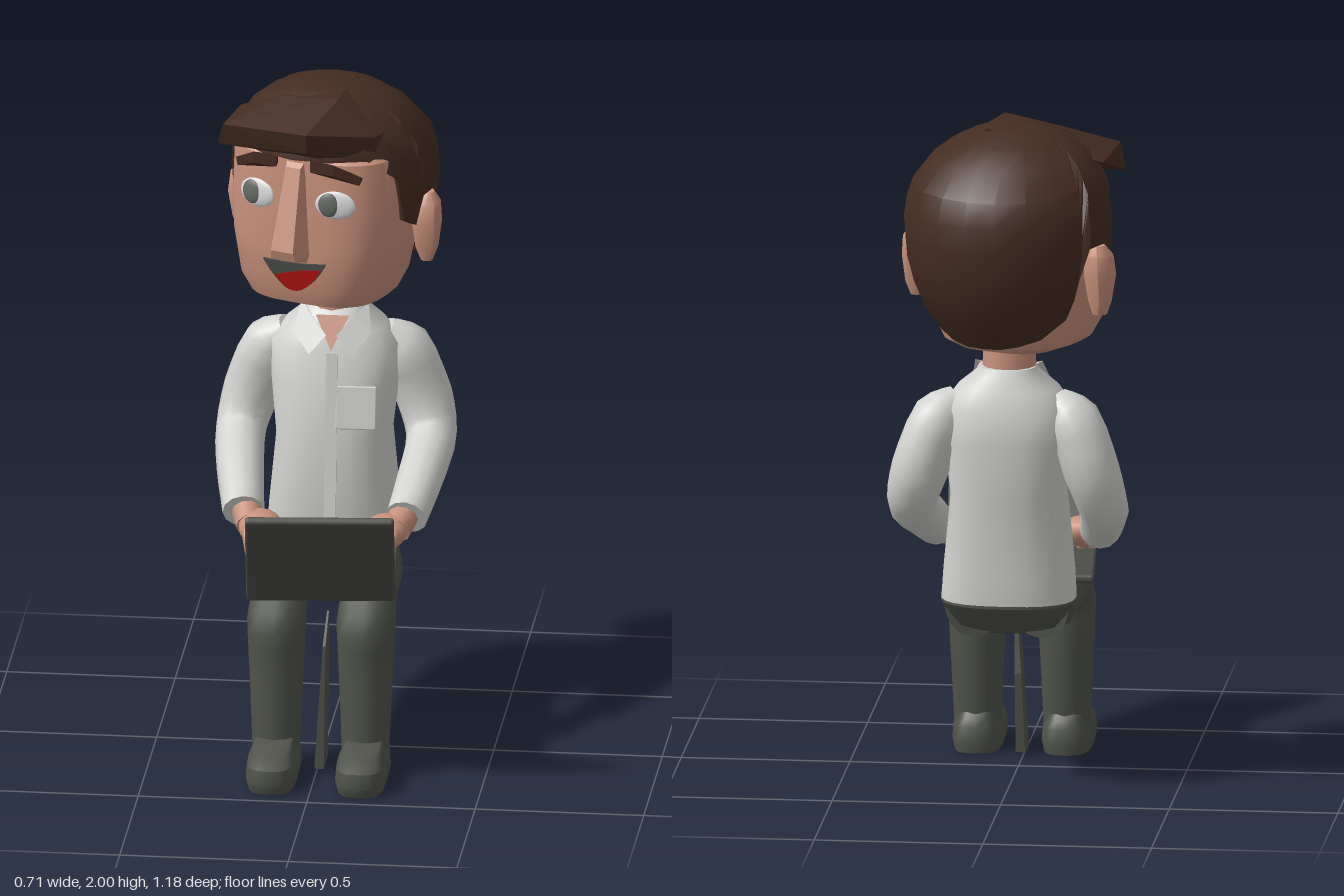
import * as THREE from 'three';
import { toCreasedNormals } from 'three/addons/utils/BufferGeometryUtils.js';
import { ConvexGeometry } from 'three/addons/geometries/ConvexGeometry.js';
import { RoundedBoxGeometry } from 'three/addons/geometries/RoundedBoxGeometry.js';

const V = (x, y, z) => new THREE.Vector3(x, y, z);
const mat = (name, color) => {
  const m = new THREE.MeshStandardMaterial({ color });
  m.name = name;
  return m;
};

// Piecewise linear lookup in a table of [key, value...] rows
function lookup(table, k, col = 1) {
  for (let i = 1; i < table.length; i++) {
    const [a, b] = [table[i - 1], table[i]];
    if (k <= b[0]) return THREE.MathUtils.mapLinear(Math.max(k, a[0]), a[0], b[0], a[col], b[col]);
  }
  return table[table.length - 1][col];
}

// Closed skin over a list of rings, with fan caps
function skinRings(rings, crease = 0.65) {
  const n = rings[0].length, pos = [], idx = [];
  rings.forEach(r => r.forEach(p => pos.push(p.x, p.y, p.z)));
  for (let i = 0; i < rings.length - 1; i++) {
    for (let j = 0; j < n; j++) {
      const k = (j + 1) % n, a = i * n + j, b = i * n + k;
      idx.push(a, b, b + n, a, b + n, a + n);
    }
  }
  [0, rings.length - 1].forEach((ri, top) => {
    const c = rings[ri].reduce((s, p) => s.add(p), V(0, 0, 0)).divideScalar(n);
    const ci = pos.length / 3;
    pos.push(c.x, c.y, c.z);
    for (let j = 0; j < n; j++) {
      const a = ri * n + j, b = ri * n + (j + 1) % n;
      idx.push(ci, ...(top ? [a, b] : [b, a]));
    }
  });
  const g = new THREE.BufferGeometry();
  g.setAttribute('position', new THREE.Float32BufferAttribute(pos, 3));
  g.setIndex(idx);
  return toCreasedNormals(g, crease);
}

// Upright loft: rows of [y, halfWidth, zFront, zBack], boxy ovals
function loft(rows, power = 2.6, seg = 24, crease) {
  const bend = v => Math.sign(v) * Math.abs(v) ** (2 / power);
  return skinRings(rows.map(([y, w, zf, zb]) => Array.from({ length: seg }, (_, j) => {
    const a = j / seg * Math.PI * 2;
    return V(w * bend(Math.sin(a)), y, (zf + zb) / 2 + (zf - zb) / 2 * bend(Math.cos(a)));
  })), crease);
}

// Limb: tapering tube through points [x, y, z, radius]
function limb(pts, seg = 10, steps = 3) {
  const curve = new THREE.CatmullRomCurve3(pts.map(p => V(p[0], p[1], p[2])));
  const count = (pts.length - 1) * steps, rings = [];
  const radii = pts.map((p, i) => [i, p[3]]);
  for (let i = 0; i <= count; i++) {
    const t = i / count, c = curve.getPoint(t), T = curve.getTangent(t);
    const N = V(1, 0, 0).addScaledVector(T, -T.x).normalize(), B = T.clone().cross(N);
    const r = lookup(radii, t * (pts.length - 1));
    rings.push(Array.from({ length: seg }, (_, j) => {
      const a = j / seg * Math.PI * 2;
      return c.clone().addScaledVector(N, r * Math.cos(a)).addScaledVector(B, r * Math.sin(a));
    }));
  }
  return skinRings(rings, 0.8);
}

// Hair cap whose lower edge follows a hairline around the head
function hairCap() {
  const hairline = [[0, 1.83], [22, 1.83], [45, 1.83], [62, 1.76], [68, 1.62], [80, 1.59], [84, 1.68],
    [102, 1.68], [109, 1.46], [125, 1.4], [145, 1.38], [163, 1.37], [180, 1.37]];
  const profile = [[1.37, 0.58], [1.42, 0.7], [1.5, 0.88], [1.62, 0.99], [1.74, 1.02], [1.84, 0.96],
    [1.92, 0.78], [1.97, 0.56], [2, 0.28]];
  const half = hairline.map(r => r[0]);
  const angles = [...half, ...half.slice(1, -1).reverse().map(a => -a)];
  const ring = (t, shrink = 1) => angles.map(d => {
    const b = lookup(hairline, Math.abs(d)), y = b + (2 - b) * t, a = d * Math.PI / 180;
    const s = lookup(profile, y) * shrink, shift = Math.max(0, y - 1.8) * 0.3;
    return V(0.305 * s * Math.sin(a), y, shift + 0.3 * s * Math.cos(a));
  });
  return skinRings([ring(0, 0.85), ...[0, 0.12, 0.25, 0.38, 0.5, 0.62, 0.74, 0.86, 0.95, 1].map(t => ring(t))], 0.5);
}

export function createModel() {
  const model = new THREE.Group();
  model.name = 'seatedManWithLaptop';
  const skin = mat('skin', 0xc8917b), hair = mat('hairBrown', 0x452c21), shirt = mat('shirtWhite', 0xd2d2d0);
  const trouser = mat('trouserGrey', 0x50534b), laptopGrey = mat('laptopGrey', 0x4c4e49);
  const white = mat('eyeWhite', 0xdcdcdc), iris = mat('irisGrey', 0x686c68);
  const red = mat('mouthRed', 0xa30f0f), dark = mat('mouthDark', 0x454845);
  const add = (parent, name, geo, material, p = [0, 0, 0], r = [0, 0, 0], s = [1, 1, 1]) => {
    const m = new THREE.Mesh(geo, material);
    m.name = name;
    m.position.set(...p);
    m.rotation.set(...r);
    m.scale.set(...s);
    parent.add(m);
    return m;
  };
  const group = name => {
    const g = new THREE.Group();
    g.name = name;
    model.add(g);
    return g;
  };
  const ball = new THREE.SphereGeometry(1, 16, 12);
  const hull = pts => new ConvexGeometry(pts.map(p => V(...p)));
  const sides = [[1, 'left'], [-1, 'right']];

  // Head, turned to one side
  const head = group('head');
  head.position.set(0, 0, -0.29);
  head.rotation.y = -0.35;
  add(head, 'face', loft([[1.345, 0.15, 0.19, -0.1], [1.365, 0.205, 0.255, -0.12], [1.42, 0.235, 0.275, -0.13],
    [1.55, 0.26, 0.28, -0.15], [1.68, 0.268, 0.276, -0.18], [1.82, 0.265, 0.27, -0.2], [1.88, 0.23, 0.2, -0.2]], 3, 28), skin);
  add(head, 'hair', hairCap(), hair);
  add(head, 'nose', hull([-1, 1].flatMap(s => [[s * 0.032, 1.83, 0.25], [s * 0.024, 1.8, 0.285], [s * 0.036, 1.56, 0.36],
    [s * 0.04, 1.53, 0.35], [s * 0.052, 1.53, 0.26], [s * 0.04, 1.5, 0.26]])), skin);
  for (const [s, side] of sides) {
    add(head, side + 'Eye', ball, white, [s * 0.128, 1.695, 0.262], [0, s * 0.2, 0], [0.062, 0.045, 0.014]);
    add(head, side + 'Iris', ball, iris, [s * 0.128 - 0.016, 1.697, 0.27 - s * -0.003], [0, s * 0.2, 0], [0.033, 0.037, 0.011]);
    add(head, side + 'Brow', hull([[s * 0.055, 1.835, 0.285], [s * 0.055, 1.795, 0.285], [s * 0.13, 1.83, 0.285],
      [s * 0.13, 1.795, 0.285], [s * 0.205, 1.79, 0.25], [s * 0.2, 1.765, 0.25], [s * 0.06, 1.815, 0.25], [s * 0.2, 1.78, 0.22]]), hair);
    add(head, side + 'Ear', loft([[1.47, 0.018, 0.025, -0.02], [1.51, 0.034, 0.035, -0.03], [1.59, 0.044, 0.05, -0.045],
      [1.65, 0.04, 0.04, -0.045], [1.68, 0.02, 0.015, -0.03]], 2.4, 10), skin, [s * 0.3, 0, 0], [0, s * 0.3, 0]);
  }

  // Open smiling mouth
  const mouth = (pts) => {
    const sh = new THREE.Shape();
    sh.moveTo(...pts[0]);
    sh.quadraticCurveTo(...pts[1], ...pts[2]);
    sh.quadraticCurveTo(...pts[3], ...pts[0]);
    return new THREE.ExtrudeGeometry(sh, { depth: 0.009, bevelEnabled: false, curveSegments: 10 });
  };
  add(head, 'mouth', mouth([[-0.1, 1.5], [0.01, 1.33], [0.105, 1.51], [0, 1.495]]), dark, [0, 0, 0.275]);
  add(head, 'tongue', mouth([[-0.06, 1.455], [0.015, 1.36], [0.09, 1.49], [0.02, 1.485]]), red, [0, 0, 0.279]);

  // Swept fringe over the forehead
  add(model, 'fringe', hull([[-0.31, 1.915, -0.06], [-0.33, 1.84, -0.1], [-0.05, 1.935, 0.065], [-0.05, 1.87, 0.045],
    [-0.02, 1.84, 0.0], [0.14, 1.9, -0.035], [0.15, 1.82, -0.05], [-0.28, 1.9, -0.27], [-0.15, 1.978, -0.15],
    [0.03, 2, -0.08], [0.06, 2, -0.3], [0.22, 1.9, -0.18]]), hair);

  // Neck, torso and collar
  add(model, 'neck', new THREE.CylinderGeometry(0.075, 0.085, 0.22, 14), skin, [-0.005, 1.29, -0.3]);
  add(model, 'shirtBody', loft([[0.58, 0.2, -0.11, -0.415], [0.66, 0.195, -0.1, -0.42], [0.9, 0.172, -0.1, -0.425],
    [1.07, 0.19, -0.13, -0.45], [1.17, 0.19, -0.16, -0.435], [1.225, 0.15, -0.18, -0.415], [1.27, 0.095, -0.205, -0.395],
    [1.29, 0.085, -0.23, -0.385]]), shirt);
  add(model, 'openCollarSkin', hull([[-0.05, 1.275, -0.2], [0.05, 1.275, -0.2], [0, 1.18, -0.15], [0, 1.25, -0.25]]), skin);
  for (const [s, side] of sides) {
    add(model, side + 'Collar', hull([[s * 0.015, 1.225, -0.16], [s * 0.1, 1.295, -0.27], [s * 0.065, 1.17, -0.142],
      [s * 0.115, 1.225, -0.19], [s * 0.06, 1.27, -0.2]]), shirt);
  }
  add(model, 'shirtPlacket', new THREE.BoxGeometry(0.035, 0.5, 0.009), shirt, [0.005, 0.93, -0.108], [-0.13, 0, 0]);
  add(model, 'shirtPocket', new RoundedBoxGeometry(0.12, 0.13, 0.009, 2, 0.004), shirt, [0.078, 1.015, -0.121], [-0.18, 0.06, 0]);

  // Sleeves and hands resting on the keyboard
  for (const [s, side] of sides) {
    const arm = group(side + 'Arm');
    add(arm, side + 'Sleeve', limb([[s * 0.135, 1.185, -0.315, 0.05], [s * 0.195, 1.13, -0.335, 0.085], [s * 0.255, 0.98, -0.35, 0.085],
      [s * 0.282, 0.875, -0.305, 0.075], [s * 0.268, 0.8, -0.15, 0.07], [s * 0.242, 0.725, 0.005, 0.062]], 12), shirt);
    add(arm, side + 'Wrist', limb([[s * 0.25, 0.75, -0.05, 0.045], [s * 0.215, 0.7, 0.05, 0.045]]), skin);
    add(arm, side + 'Palm', ball, skin, [s * 0.183, 0.7, 0.07], [0.3, s * -0.35, 0], [0.066, 0.046, 0.072]);
    for (let i = 0; i < 4; i++) {
      const x = 0.215 - i * 0.034, z = 0.118 - i * 0.008;
      add(arm, side + 'Finger', limb([[s * x, 0.71, z - 0.03, 0.021], [s * (x - 0.005), 0.695, z + 0.025, 0.02],
        [s * (x - 0.012), 0.632, z + 0.045, 0.014]], 8), skin);
    }
    add(arm, side + 'Thumb', limb([[s * 0.16, 0.69, 0.04, 0.024], [s * 0.11, 0.67, 0.05, 0.022], [s * 0.085, 0.635, 0.075, 0.015]], 8), skin);
  }

  // Trousers and shoes
  add(model, 'hips', loft([[0.465, 0.14, -0.06, -0.27], [0.495, 0.18, -0.04, -0.34], [0.57, 0.205, -0.04, -0.41],
    [0.615, 0.19, -0.08, -0.41]]), trouser);
  for (const [s, side] of sides) {
    const leg = group(side + 'Leg'), x = 0.0125 + s * 0.1325;
    add(leg, side + 'TrouserLeg', limb([[s * 0.1, 0.54, -0.3, 0.08], [x, 0.535, -0.05, 0.08], [x, 0.525, 0.13, 0.082],
      [x, 0.47, 0.215, 0.088], [x, 0.36, 0.22, 0.083], [x, 0.07, 0.235, 0.07]], 12), trouser);
    add(leg, side + 'Shoe', loft([[0, 0.07, 0.45, 0.14], [0.03, 0.077, 0.463, 0.135], [0.075, 0.073, 0.455, 0.14],
      [0.1, 0.06, 0.41, 0.15], [0.12, 0.055, 0.3, 0.165]], 3.2, 20), trouser, [x, 0, 0]);
  }

  // Thin cloth blade hanging between the legs
  add(model, 'hangingFlap', hull([-1, 1].flatMap(s => [[0.008 + s * 0.014, 0.01, 0.13], [0.008 + s * 0.014, 0.01, 0.24],
    [0.014 + s * 0.01, 0.25, 0.115], [0.026 + s * 0.003, 0.48, 0.16], [0.024 + s * 0.004, 0.4, 0.25]])), trouser);

  // Open laptop on the knees
  const laptop = group('laptop');
  laptop.position.set(0.022, 0.58, 0.315);
  laptop.rotation.y = 0.09;
  const base = new RoundedBoxGeometry(0.44, 0.026, 0.5, 2, 0.01).translate(0, 0, -0.25);
  const lid = new RoundedBoxGeometry(0.44, 0.42, 0.026, 2, 0.01).translate(0, 0.21, 0);
  add(laptop, 'laptopBase', base, laptopGrey, [0, 0, 0], [0.06, 0, 0]);
  add(laptop, 'laptopLid', lid, laptopGrey, [0, -0.005, 0], [0.63, 0, 0]);
  return model;
}
